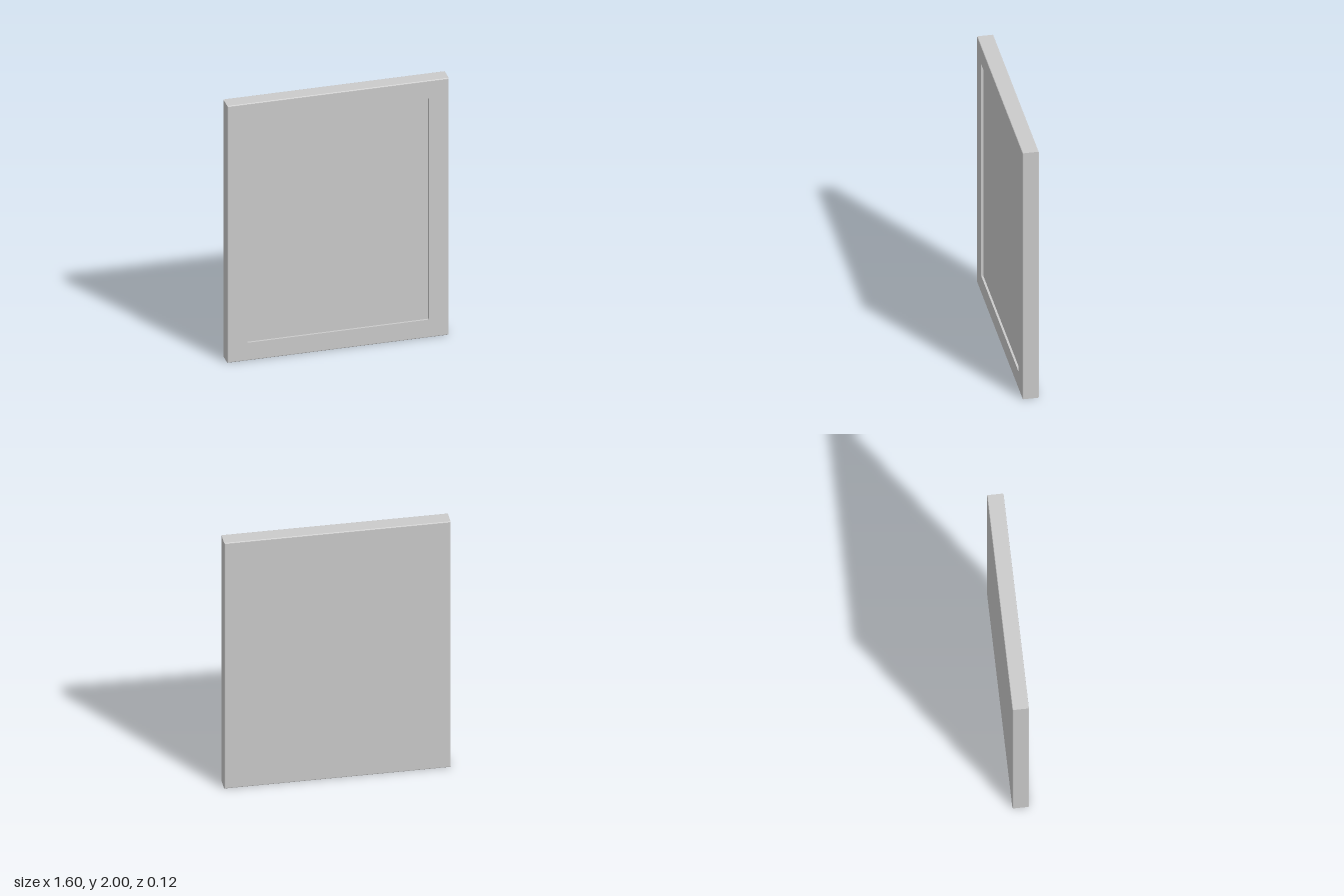
import * as THREE from 'three';

// Skin rectangular rings [halfWidth, halfHeight, z], ordered from back to front
function loftRectangles(rings) {
  const corners = [[-1, -1], [1, -1], [1, 1], [-1, 1]];
  const at = ([w, h, z], i) => {
    const [sx, sy] = corners[i % 4];
    return [sx * w, 1 + sy * h, z];
  };
  const pos = [];
  for (let r = 0; r < rings.length - 1; r++) {
    for (let i = 0; i < 4; i++) {
      const a = at(rings[r], i), b = at(rings[r], i + 1);
      const c = at(rings[r + 1], i + 1), d = at(rings[r + 1], i);
      pos.push(...a, ...b, ...c, ...a, ...c, ...d);
    }
  }
  const geometry = new THREE.BufferGeometry();
  geometry.setAttribute('position', new THREE.Float32BufferAttribute(pos, 3));
  geometry.computeVertexNormals();
  return geometry;
}

export function createModel() {
  const group = new THREE.Group();
  const material = new THREE.MeshStandardMaterial({ color: 0xcccccc });
  const W = 0.8, H = 1, Z = 0.058, bevel = 0.007;
  const innerW = 0.654, innerH = 0.861, recess = 0.015;

  // Softened outer edge, from the back face round to the front face
  const edge = [];
  const steps = 3;
  for (const side of [-1, 1]) {
    for (let i = 0; i <= steps; i++) {
      const t = (i / steps) * Math.PI / 2;
      const angle = side < 0 ? t : Math.PI / 2 - t;
      const inset = bevel * (1 - Math.sin(angle));
      edge.push([W - inset, H - inset, side * (Z - bevel + bevel * Math.cos(angle))]);
    }
  }

  // Frame with the walls of the front recess
  const frame = new THREE.Mesh(loftRectangles([
    ...edge,
    [innerW, innerH, Z],
    [innerW, innerH, Z - recess],
  ]), material);
  frame.name = 'frame';

  // Closed back face
  const back = new THREE.Mesh(new THREE.PlaneGeometry(2 * (W - bevel), 2 * (H - bevel)), material);
  back.name = 'backPanel';
  back.rotation.y = Math.PI;
  back.position.set(0, 1, -Z);

  // Recessed front panel
  const panel = new THREE.Mesh(new THREE.PlaneGeometry(2 * innerW, 2 * innerH), material);
  panel.name = 'frontPanel';
  panel.position.set(0, 1, Z - recess);

  group.add(frame, back, panel);
  return group;
}
